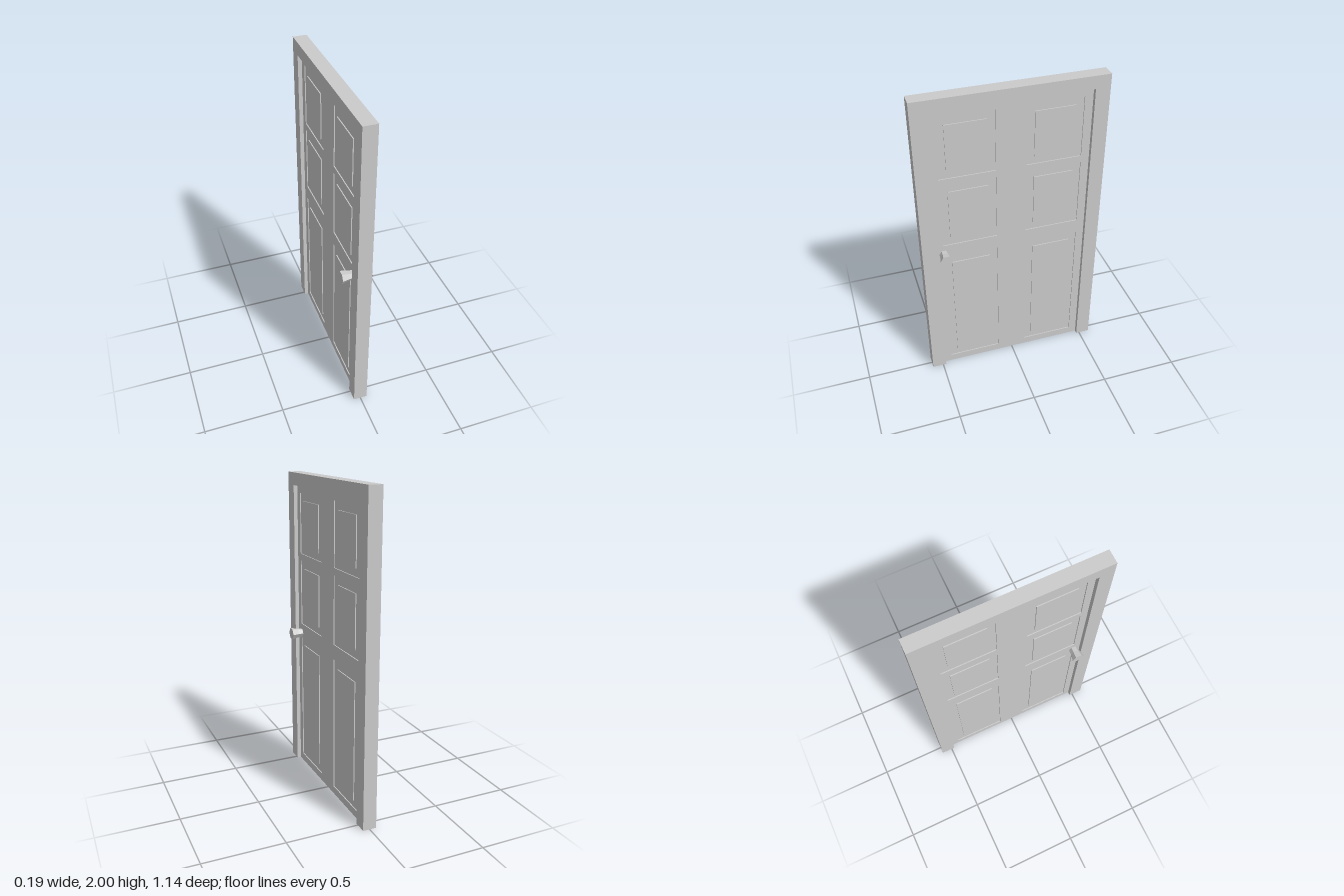
import * as THREE from 'three';

const mat = new THREE.MeshStandardMaterial({ color: 0xcccccc, flatShading: true, side: THREE.DoubleSide });

function add(parent, name, geometry, x = 0, y = 0, z = 0) {
  const mesh = new THREE.Mesh(geometry, mat);
  mesh.name = name;
  mesh.position.set(x, y, z);
  parent.add(mesh);
  return mesh;
}

// Closed outline from corner pairs
const outline = (Type, pts) => new Type(pts.map(([x, y]) => new THREE.Vector2(x, y)));
const rect = (cx, y0, y1, w) => [[cx - w / 2, y0], [cx - w / 2, y1], [cx + w / 2, y1], [cx + w / 2, y0]];

// Extrude a shape drawn in (-z, y) so its thickness runs along x
function slab(shape, thickness) {
  const g = new THREE.ExtrudeGeometry(shape, { depth: thickness, bevelEnabled: false });
  return g.translate(0, 0, -thickness / 2).rotateY(Math.PI / 2);
}

export function createModel() {
  const door = new THREE.Group();
  door.name = 'door';
  const W = 0.57, openW = 0.48, openH = 1.92;
  const leafT = 0.036, grooveT = 0.024;

  // Surround: two jambs and a head in one piece
  const frame = outline(THREE.Shape, [
    [-W, 0], [-openW, 0], [-openW, openH], [openW, openH],
    [openW, 0], [W, 0], [W, 2], [-W, 2],
  ]);
  add(door, 'frame', slab(frame, 0.086));

  // Leaf with six openings, each filled by a groove floor and a raised panel
  const leaf = outline(THREE.Shape, rect(0, 0, openH, openW * 2));
  const rows = [[0.05, 0.915], [1.01, 1.44], [1.485, 1.875]];
  const outerW = 0.34, border = 0.048;
  for (const side of [-1, 1]) {
    const cz = side * 0.262 + 0.0025;
    for (const [y0, y1] of rows) {
      leaf.holes.push(outline(THREE.Path, rect(-cz, y0, y1, outerW)));
      const h = y1 - y0, cy = (y0 + y1) / 2;
      add(door, 'panelGroove', new THREE.BoxGeometry(grooveT, h, outerW), 0, cy, cz);
      add(door, 'panel', new THREE.BoxGeometry(leafT, h - 2 * border, outerW - 2 * border), 0, cy, cz);
    }
  }
  add(door, 'leaf', slab(leaf, leafT));

  // Six-sided flared knob on each face
  const profile = [[0, 0.016], [0.028, 0.016], [0.031, 0.05], [0.04, 0.093], [0, 0.093]]
    .map(([r, h]) => new THREE.Vector2(r, h));
  for (const side of [-1, 1]) {
    const knob = add(door, 'knob', new THREE.LatheGeometry(profile, 6), 0, 0.948, 0.433);
    knob.rotation.z = -side * Math.PI / 2;
  }
  return door;
}
